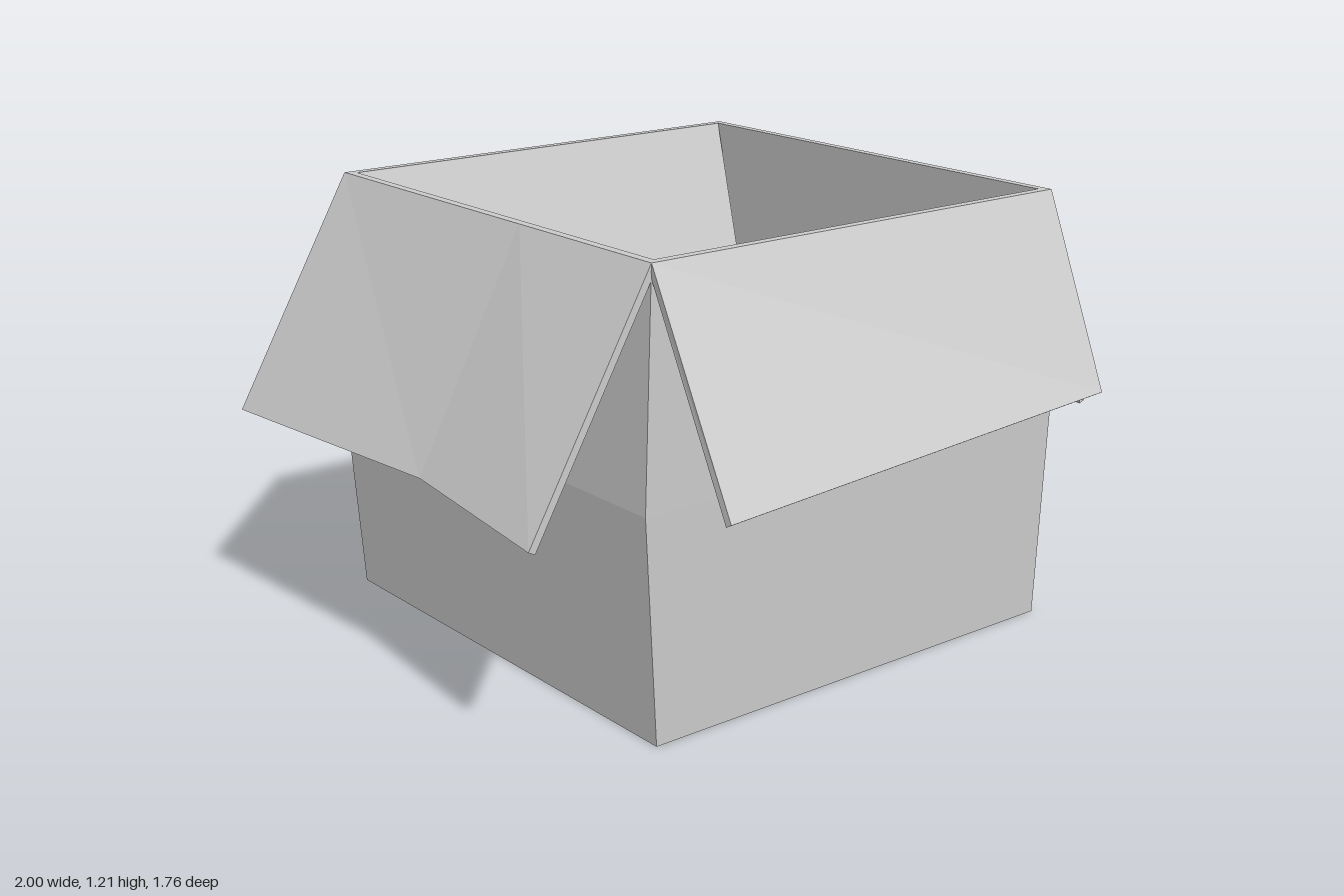
import * as THREE from 'three';

const material = new THREE.MeshStandardMaterial({ color: 0xcccccc, flatShading: true });

// Joins successive four-point rings with quads and closes both ends.
function loft(name, rings) {
  const pos = [];
  const quad = (a, b, c, d) => pos.push(...a, ...b, ...c, ...a, ...c, ...d);
  for (let r = 0; r < rings.length - 1; r++) {
    const s = rings[r], t = rings[r + 1];
    for (let i = 0; i < 4; i++) {
      const j = (i + 1) % 4;
      quad(s[i], s[j], t[j], t[i]);
    }
  }
  quad(...[...rings[0]].reverse());
  quad(...rings[rings.length - 1]);
  const geometry = new THREE.BufferGeometry();
  geometry.setAttribute('position', new THREE.Float32BufferAttribute(pos, 3));
  geometry.computeVertexNormals();
  const mesh = new THREE.Mesh(geometry, material);
  mesh.name = name;
  return mesh;
}

// Horizontal rectangle of the box, inset by the wall thickness.
function level(y, bulge, inset) {
  const x0 = -0.645 - 0.03 * bulge + inset, x1 = 0.685 + 0.03 * bulge - inset;
  const z0 = -0.857 - 0.022 * bulge + inset, z1 = 0.532 + 0.006 * bulge - inset;
  return [[x0, y, z1], [x1, y, z1], [x1, y, z0], [x0, y, z0]];
}

const add = (a, b) => a.map((v, i) => v + b[i]);

// Flap from [hinge, tip] stations; it tapers into the wall at the hinge.
function flap(name, stations, tipOffset) {
  return loft(name, stations.map(([hinge, tip]) =>
    [hinge, tip, add(tip, tipOffset), add(hinge, [0, -0.04, 0])]));
}

export function createModel() {
  const group = new THREE.Group();
  group.name = 'openBox';
  const top = 1.205, wall = 0.025;

  // Outside up to the rim, then down the inside to the floor
  group.add(loft('boxBody', [
    level(0, 0, 0), level(0.6, 1, 0), level(top, 0, 0),
    level(top, 0, wall), level(0.6, 1, wall), level(wall, 0, wall),
  ]));

  // Front flap, hanging outward
  group.add(flap('frontFlap', [
    [[-0.645, top, 0.532], [-0.695, 0.685, 0.877]],
    [[0.685, top, 0.532], [0.622, 0.718, 0.795]],
  ], [0, -0.01, -0.018]));

  // Back flap, folded into the box
  group.add(flap('backFlap', [
    [[-0.62, top, -0.833], [-0.595, 0.695, -0.45]],
    [[0.66, top, -0.833], [0.59, 0.59, -0.59]],
  ], [0, -0.01, -0.018]));

  // Left flap, twisted
  group.add(flap('leftFlap', [
    [[0.685, top, 0.532], [0.862, 0.588, 0.532]],
    [[0.685, top, -0.857], [1, 0.568, -0.857]],
  ], [-0.018, -0.007, 0]));

  // Right flap, bent along its middle
  group.add(flap('rightFlap', [
    [[-0.645, top, -0.857], [-1, 0.592, -0.857]],
    [[-0.645, top, 0], [-0.957, 0.615, 0]],
    [[-0.645, top, 0.532], [-1, 0.592, 0.532]],
  ], [0.018, -0.009, 0]));

  return group;
}
